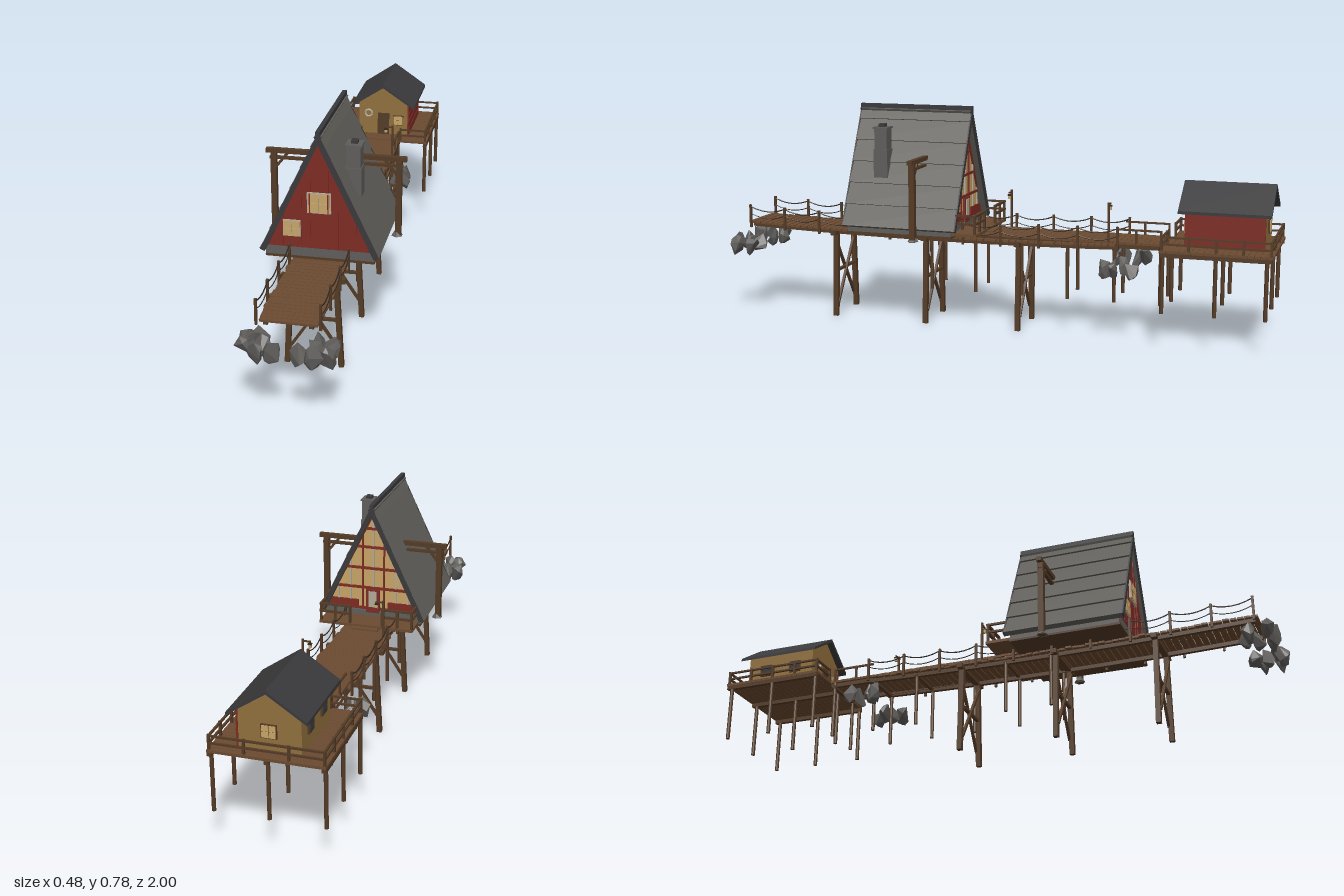
import * as THREE from 'three';
import { ConvexGeometry } from 'three/addons/geometries/ConvexGeometry.js';

const mat = (name, color) => Object.assign(new THREE.MeshStandardMaterial({ color, flatShading: true }), { name });
const deckWood = mat('deck wood', 0x6b4a30), timber = mat('dark timber', 0x543b26), red = mat('barn red', 0x7e2b23);
const shingle = mat('grey shingle', 0x5f5d58), charcoal = mat('charcoal', 0x3a3a3c), stone = mat('stone', 0x605e5b);
const glow = mat('warm glass', 0xc9a568), ochre = mat('ochre wall', 0x92703d), pale = mat('pale frame', 0xb3ab98);
const rope = mat('rope and iron', 0x2e2620);

let seed = 7;
const rnd = () => (seed = (seed * 16807) % 2147483647) / 2147483647;
const V = (x, y, z) => new THREE.Vector3(x, y, z);

function add(g, name, geo, m) {
  const mesh = new THREE.Mesh(geo, m);
  mesh.name = name;
  g.add(mesh);
  return mesh;
}
function box(g, name, m, w, h, d, x, y, z) {
  const b = add(g, name, new THREE.BoxGeometry(w, h, d), m);
  b.position.set(x, y, z);
  return b;
}
// square or round bar between two points
function beam(g, name, m, a, b, w, round) {
  const len = a.distanceTo(b);
  const geo = round ? new THREE.CylinderGeometry(w / 2, w / 2, len, 8) : new THREE.BoxGeometry(w, len, w);
  const s = add(g, name, geo, m);
  s.position.copy(a).add(b).multiplyScalar(0.5);
  s.quaternion.setFromUnitVectors(V(0, 1, 0), b.clone().sub(a).normalize());
  return s;
}
// outline in x, y drawn out from z0 to z1
function prism(g, name, m, pts, z0, z1) {
  const geo = new THREE.ExtrudeGeometry(new THREE.Shape(pts.map(p => new THREE.Vector2(...p))), { depth: z1 - z0, bevelEnabled: false });
  return add(g, name, geo.translate(0, 0, z0), m);
}
function group(parent, name) {
  const g = new THREE.Group();
  g.name = name;
  parent.add(g);
  return g;
}
// framed window facing +z, made of thin plates
function windowPane(parent, frame, glass, w, h, x, y, z, ry = 0) {
  const g = group(parent, 'window');
  box(g, 'frame', frame, w, h, 0.006, 0, 0, 0);
  for (const i of [-1, 1]) for (const j of [-1, 1])
    box(g, 'pane', glass, w * 0.42, h * 0.42, 0.004, i * w * 0.23, j * h * 0.23, 0.003);
  g.position.set(x, y, z);
  g.rotation.y = ry;
}

const sagY = z => 0.335 - 0.014 * (1 - ((z - 0.17) / 0.76) ** 2);

function buildBridge(root) {
  const g = group(root, 'ropeBridge');
  // uneven planks
  for (let z = 0.915; z > -0.47; z -= 0.0235) {
    const p = box(g, 'plank', deckWood, 0.178 + rnd() * 0.016, 0.007, 0.0205, (rnd() - 0.5) * 0.006, sagY(z) - 0.004, z);
    p.rotation.y = (rnd() - 0.5) * 0.03;
  }
  const step = 0.1385;
  for (const s of [-1, 1]) {
    for (let i = 0; i <= 10; i++) {
      const z = 0.915 - i * step, z2 = z - step;
      box(g, 'railPost', timber, 0.008, 0.085, 0.008, s * 0.098, sagY(z) + 0.02, z);
      if (i === 10) continue;
      beam(g, 'stringer', timber, V(s * 0.07, sagY(z) - 0.014, z), V(s * 0.07, sagY(z2) - 0.014, z2), 0.014);
      for (const [h, r] of [[0.056, 0.0022], [0.03, 0.0017]]) {
        const c = new THREE.QuadraticBezierCurve3(V(s * 0.098, sagY(z) + h, z), V(s * 0.098, sagY(z - step / 2) + h - 0.03, z - step / 2), V(s * 0.098, sagY(z2) + h, z2));
        add(g, 'rope', new THREE.TubeGeometry(c, 6, r, 5), rope);
      }
    }
  }
  // tall cross-braced trestles
  for (const z of [0.58, 0.23, -0.115]) {
    const t = group(g, 'trestle');
    box(t, 'capBeam', timber, 0.21, 0.016, 0.02, 0, 0.31, z);
    box(t, 'crossBar', timber, 0.165, 0.009, 0.012, 0, 0.168, z);
    for (const s of [-1, 1]) {
      beam(t, 'leg', timber, V(s * 0.09, 0, z), V(s * 0.074, 0.31, z), 0.017);
      beam(t, 'brace', timber, V(-s * 0.085, 0.05, z + s * 0.007), V(s * 0.073, 0.29, z + s * 0.007), 0.009);
    }
  }
}

function buildDock(root) {
  const g = group(root, 'boardwalk');
  for (let z = -0.62; z < 0.1; z += 0.02)
    box(g, 'plank', deckWood, 0.157, 0.008, 0.0192, (rnd() - 0.5) * 0.004, 0.334, z);
  for (const s of [-1, 1]) {
    box(g, 'joist', timber, 0.012, 0.014, 0.85, s * 0.066, 0.322, -0.205);
    for (const z of [0.21, 0.045, -0.125, -0.29, -0.455, -0.615]) {
      beam(g, 'pile', timber, V(s * 0.072, 0.125, z), V(s * 0.072, 0.33, z), 0.013, true);
      if (s > 0) box(g, 'pileCap', timber, 0.16, 0.01, 0.012, 0, 0.312, z);
    }
    for (const z of [-0.53, -0.615]) box(g, 'railPost', timber, 0.007, 0.05, 0.007, s * 0.076, 0.358, z);
    box(g, 'rail', timber, 0.007, 0.006, 0.155, s * 0.076, 0.381, -0.54);
  }
  // lanterns on posts
  for (const [x, z] of [[-0.08, -0.04], [0.08, -0.435]]) {
    const d = -Math.sign(x);
    beam(g, 'lampPost', timber, V(x, 0.335, z), V(x, 0.472, z), 0.007);
    beam(g, 'lampArm', timber, V(x, 0.465, z), V(x + d * 0.028, 0.465, z), 0.005);
    box(g, 'lampGlass', glow, 0.009, 0.012, 0.009, x + d * 0.025, 0.449, z);
    box(g, 'lampCap', rope, 0.012, 0.004, 0.012, x + d * 0.025, 0.457, z);
  }
}

function buildHouse(root) {
  const g = group(root, 'aFrameHouse');
  box(g, 'foundation', stone, 0.36, 0.032, 0.385, 0, 0.354, 0.293);
  box(g, 'floorFrame', timber, 0.36, 0.008, 0.39, 0, 0.335, 0.293);
  prism(g, 'frontWall', red, [[-0.182, 0.37], [0.182, 0.37], [0, 0.75]], 0.475, 0.487);
  prism(g, 'rearGlazing', glow, [[-0.182, 0.37], [0.182, 0.37], [0, 0.75]], 0.112, 0.12);
  // stepped shingle courses and barge boards
  const n = [0.9, 0.43];
  const P = (s, t, o) => [s * (0.192 * t + n[0] * o), 0.764 - 0.405 * t + n[1] * o];
  for (const s of [-1, 1]) {
    for (let k = 0; k < 6; k++) {
      const a = k ? (k - 0.42) / 5.58 : 0, b = (k + 0.58) / 5.58;
      prism(g, 'roofCourse', shingle, [P(s, a, 0), P(s, b, 0.006), P(s, b, -0.013), P(s, a, -0.013)], 0.083, 0.5);
    }
    for (const z of [0.08, 0.499])
      prism(g, 'bargeBoard', charcoal, [P(s, 0, 0.003), P(s, 1, 0.004), P(s, 1, -0.014), P(s, 0, -0.014)], z, z + 0.005);
  }
  box(g, 'ridgeCap', charcoal, 0.014, 0.016, 0.425, 0, 0.768, 0.292);
  // front battens and windows
  for (const x of [-0.12, -0.06, -0.03, 0.03, 0.06, 0.12]) {
    const top = 0.74 - Math.abs(x) * 2.09;
    box(g, 'batten', red, 0.003, top - 0.37, 0.003, x, (top + 0.37) / 2, 0.488);
  }
  windowPane(g, pale, glow, 0.078, 0.07, 0, 0.531, 0.491);
  for (const s of [-1, 1]) box(g, 'windowBar', red, 0.004, 0.066, 0.004, s * 0.03, 0.531, 0.495);
  windowPane(g, pale, glow, 0.058, 0.056, -0.09, 0.438, 0.491);
  // rear glazing bars and door
  for (const y of [0.376, 0.455, 0.53, 0.61, 0.68]) box(g, 'glazingBar', red, (0.75 - y) * 0.95, 0.009, 0.008, 0, y, 0.11);
  for (const x of [-0.13, -0.085, -0.04, 0, 0.04, 0.085, 0.13]) {
    const top = 0.745 - Math.abs(x) * 2.09;
    box(g, 'mullion', Math.abs(x) === 0.04 ? red : pale, 0.006, top - 0.37, 0.006, x, (top + 0.37) / 2, 0.11);
  }
  for (const s of [-1, 1]) {
    beam(g, 'gableTrim', red, V(s * 0.178, 0.372, 0.109), V(0, 0.74, 0.109), 0.01);
    box(g, 'lowerPanel', red, 0.11, 0.03, 0.006, s * 0.11, 0.39, 0.109);
  }
  box(g, 'door', red, 0.05, 0.088, 0.008, 0, 0.406, 0.104);
  box(g, 'doorGlass', pale, 0.03, 0.06, 0.004, 0, 0.415, 0.099);
  // chimney
  box(g, 'chimney', stone, 0.046, 0.19, 0.046, 0.095, 0.607, 0.383);
  box(g, 'chimneyBase', stone, 0.052, 0.1, 0.052, 0.095, 0.575, 0.383);
  box(g, 'chimneyCap', stone, 0.055, 0.006, 0.055, 0.095, 0.701, 0.383);
  box(g, 'flue', charcoal, 0.022, 0.012, 0.022, 0.095, 0.709, 0.383);
  // rear porch
  box(g, 'porchDeck', deckWood, 0.345, 0.01, 0.105, 0, 0.345, 0.062);
  box(g, 'porchStep', deckWood, 0.1, 0.008, 0.025, 0, 0.339, 0.0);
  for (const s of [-1, 1]) {
    for (const x of [0.06, 0.115, 0.168]) box(g, 'porchPost', timber, 0.008, 0.065, 0.008, s * x, 0.382, 0.016);
    for (const y of [0.385, 0.413]) {
      box(g, 'porchRail', timber, 0.115, 0.007, 0.01, s * 0.115, y, 0.016);
      box(g, 'porchSideRail', timber, 0.008, 0.007, 0.07, s * 0.168, y, 0.05);
    }
  }
}

function buildPortal(root) {
  const g = group(root, 'portalFrame'), z = 0.227;
  box(g, 'topBeam', timber, 0.48, 0.015, 0.018, 0, 0.598, z);
  box(g, 'lowerBeam', timber, 0.455, 0.009, 0.013, 0, 0.573, z);
  for (const s of [-1, 1]) {
    box(g, 'mast', timber, 0.02, 0.28, 0.02, s * 0.214, 0.459, z);
    beam(g, 'kneeBrace', timber, V(s * 0.21, 0.535, z), V(s * 0.165, 0.592, z), 0.009);
    add(g, 'footStone', new THREE.CylinderGeometry(0.01, 0.02, 0.016, 6), stone).position.set(s * 0.21, 0.329, z);
  }
}

function buildCabin(root) {
  const g = group(root, 'cabinPlatform');
  for (let i = 0; i < 18; i++) box(g, 'plank', deckWood, 0.37, 0.009, 0.0196, 0, 0.335, -0.642 - i * 0.0205);
  for (const x of [-0.178, 0, 0.178]) {
    box(g, 'joist', timber, 0.014, 0.014, 0.365, x, 0.324, -0.815);
    for (const z of [-0.64, -0.815, -0.98]) beam(g, 'pile', timber, V(x, 0.125, z), V(x, 0.33, z), 0.014, true);
  }
  for (const y of [0.36, 0.383]) {
    for (const s of [-1, 1]) {
      box(g, 'sideRail', timber, 0.007, 0.006, 0.36, s * 0.179, y, -0.815);
      box(g, 'frontRail', timber, 0.1, 0.006, 0.007, s * 0.129, y, -0.637);
    }
    box(g, 'backRail', timber, 0.36, 0.006, 0.007, 0, y, -0.993);
  }
  for (const s of [-1, 1]) {
    for (let i = 0; i < 5; i++) box(g, 'railPost', timber, 0.008, 0.052, 0.008, s * 0.179, 0.362, -0.637 - i * 0.089);
    box(g, 'gatePost', timber, 0.008, 0.052, 0.008, s * 0.08, 0.362, -0.637);
    box(g, 'backPost', timber, 0.008, 0.052, 0.008, s * 0.07, 0.362, -0.993);
  }
  // cabin walls and roof
  const c = group(root, 'cabin');
  prism(c, 'gableWalls', ochre, [[-0.1, 0.339], [0.1, 0.339], [0.1, 0.468], [0, 0.538], [-0.1, 0.468]], -0.962, -0.7);
  box(c, 'redWall', red, 0.006, 0.128, 0.266, 0.1, 0.403, -0.831);
  for (const y of [0.37, 0.4, 0.43]) box(c, 'cladding', red, 0.003, 0.003, 0.266, 0.104, y, -0.831);
  for (const s of [-1, 1])
    prism(c, 'roofSlope', charcoal, [[0, 0.55], [s * 0.126, 0.464], [s * 0.126, 0.454], [0, 0.538]], -0.985, -0.678);
  // door, windows and life ring
  box(c, 'door', timber, 0.046, 0.088, 0.008, 0, 0.383, -0.698);
  windowPane(c, timber, glow, 0.04, 0.04, 0.06, 0.4, -0.697);
  windowPane(c, timber, glow, 0.05, 0.045, 0, 0.41, -0.965, Math.PI);
  for (const z of [-0.77, -0.89]) windowPane(c, timber, charcoal, 0.044, 0.042, -0.103, 0.41, z, -Math.PI / 2);
  add(c, 'lifeRing', new THREE.TorusGeometry(0.014, 0.004, 6, 14), pale).position.set(-0.06, 0.425, -0.696);
}

function buildRocks(root) {
  const g = group(root, 'rocks');
  const spots = [];
  for (const s of [-1, 1]) {
    for (const [x, z] of [[0.095, 0.88], [0.13, 0.895], [0.125, 0.96], [0.04, 0.965], [0.09, 0.975], [0.08, 0.925]]) spots.push([s * x, z]);
    for (const [x, z] of [[0.12, -0.43], [0.095, -0.455], [0.12, -0.525], [0.1, -0.49]]) spots.push([s * x, z]);
  }
  for (const [x, z] of spots) {
    const pts = [];
    for (let i = 0; i < 13; i++) {
      const a = rnd() * 6.283, u = rnd() * 2 - 1, r = Math.sqrt(1 - u * u);
      pts.push(V(Math.cos(a) * r * 0.032, u * 0.041, Math.sin(a) * r * 0.025));
    }
    add(g, 'rock', new ConvexGeometry(pts), stone).position.set(x, 0.25 + (rnd() - 0.5) * 0.012, z);
  }
}

export function createModel() {
  const root = new THREE.Group();
  root.name = 'stiltHouseAndBridge';
  [buildBridge, buildDock, buildHouse, buildPortal, buildCabin, buildRocks].forEach(f => f(root));
  return root;
}
